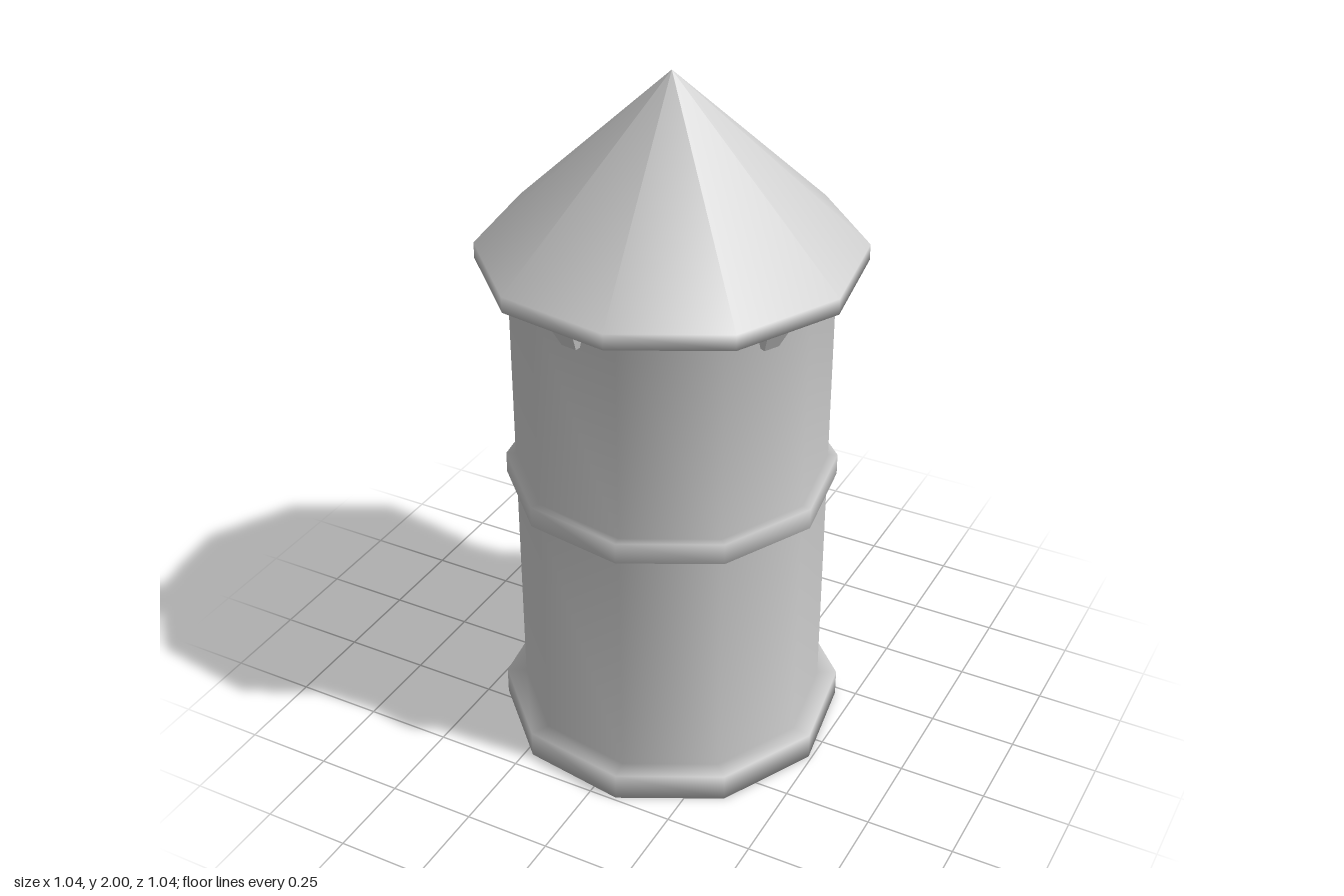
import * as THREE from 'three';

const grey = new THREE.MeshStandardMaterial({ color: 0xcccccc });
grey.name = 'light grey';

const SIDES = 10;
const TURN = Math.PI / 20; // the decagon is turned by 9 degrees

// Wedge that narrows downwards and slopes back to the wall
function bracketGeometry() {
  const geo = new THREE.BoxGeometry(1, 1, 1);
  const p = geo.attributes.position;
  for (let i = 0; i < p.count; i++) {
    const top = p.getY(i) > 0;
    const outer = p.getZ(i) > 0;
    p.setXYZ(
      i,
      Math.sign(p.getX(i)) * (top ? 0.042 : 0.023),
      top ? 1.475 : 1.395,
      outer ? (top ? 0.475 : 0.435) : 0.4
    );
  }
  geo.computeVertexNormals();
  return geo;
}

export function createModel() {
  const model = new THREE.Group();
  model.name = 'tower';

  // One soft-shaded profile: base plate, wall, middle ring, wall, conical roof
  const profile = [
    [0, 0], [0.497, 0], [0.497, 0.08],
    [0.44, 0.08], [0.44, 0.795],
    [0.467, 0.795], [0.467, 0.857],
    [0.44, 0.857], [0.44, 1.47],
    [0.525, 1.47], [0.525, 1.515], [0, 2],
  ].map(([r, y]) => new THREE.Vector2(r, y));
  const body = new THREE.Mesh(new THREE.LatheGeometry(profile, SIDES, TURN), grey);
  body.name = 'towerBody';
  model.add(body);

  // Five brackets under the eaves, on every second wall face
  const geo = bracketGeometry();
  for (let i = 0; i < 5; i++) {
    const bracket = new THREE.Mesh(geo, grey);
    bracket.name = 'eaveBracket' + (i + 1);
    bracket.rotation.y = -TURN + (i * Math.PI * 2) / 5;
    model.add(bracket);
  }
  return model;
}
